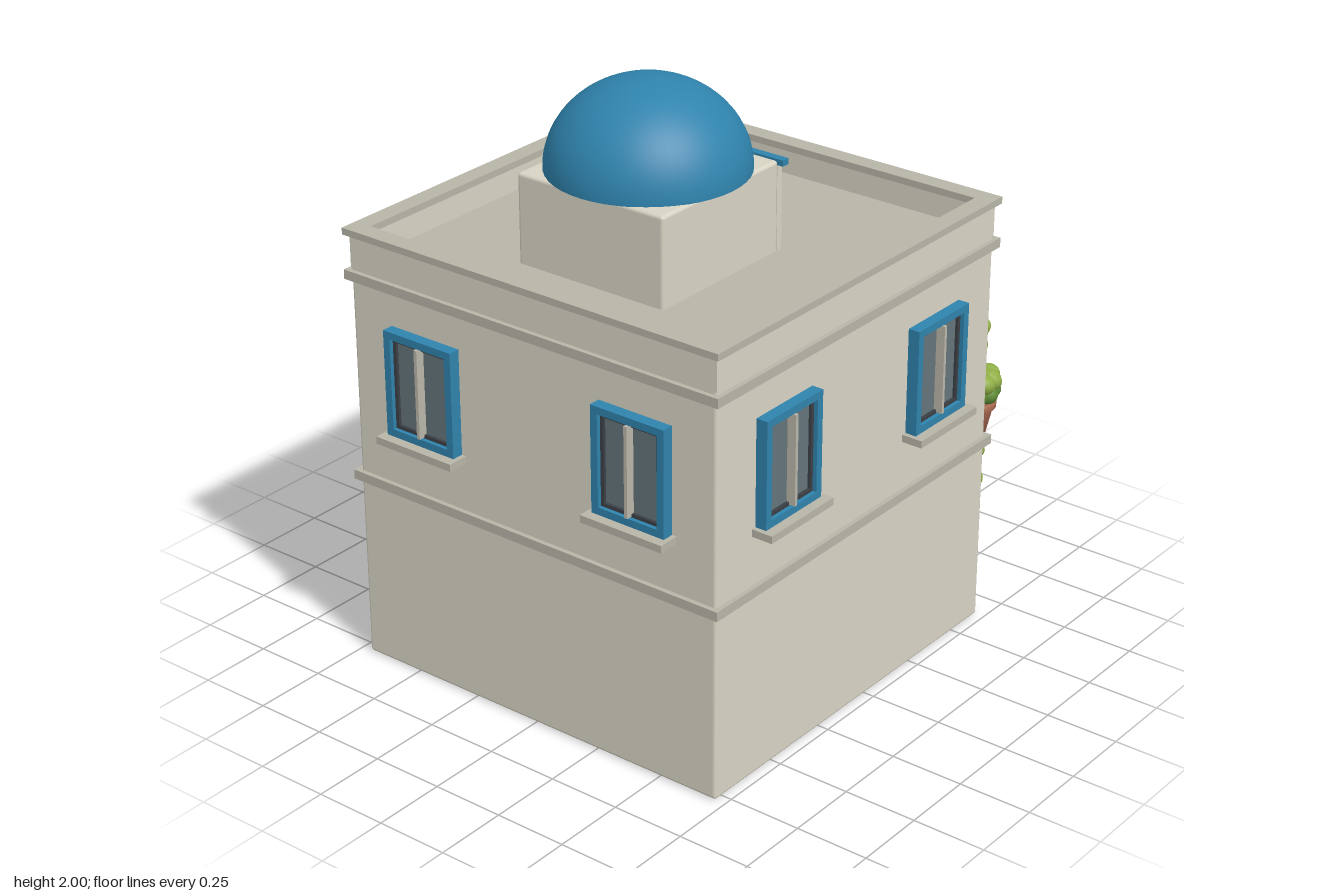
import * as THREE from 'three';
import { RoundedBoxGeometry } from 'three/addons/geometries/RoundedBoxGeometry.js';

const mat = (color, extra = {}) => new THREE.MeshStandardMaterial({ color, ...extra });
const M = {
  wall: mat(0xd8d4c4), trim: mat(0xb8b5a8), blue: mat(0x2f83ad), darkBlue: mat(0x246a90),
  glass: mat(0x64747a), mullion: mat(0xb9b6aa), cream: mat(0xe6e0d0), brown: mat(0x4d3a26),
  pot: mat(0xb06f55), metal: mat(0x3b4046), lamp: mat(0xd5d2c6),
  leaf: mat(0x8fae45), leafDark: mat(0x5f8c35),
};
const CZ = 0.07, H = 0.717;   // house centre in z and half width

function add(parent, name, geo, material, x = 0, y = 0, z = 0) {
  const m = new THREE.Mesh(geo, material);
  m.name = name;
  m.position.set(x, y, z);
  parent.add(m);
  return m;
}
// box given by its centre in x, bottom and top in y, and range in z
function slab(parent, name, material, x, w, y0, y1, z0, z1) {
  return add(parent, name, new THREE.BoxGeometry(w, y1 - y0, z1 - z0), material, x, (y0 + y1) / 2, (z0 + z1) / 2);
}
function group(parent, name, x = 0, y = 0, z = 0, turn = 0) {
  const g = new THREE.Group();
  g.name = name;
  g.position.set(x, y, z);
  g.rotation.y = turn;
  parent.add(g);
  return g;
}
function rectPath(P, hw, y0, y1) {
  const p = new P();
  p.moveTo(-hw, y0); p.lineTo(hw, y0); p.lineTo(hw, y1); p.lineTo(-hw, y1); p.closePath();
  return p;
}
function archPath(P, r, y0, spring) {
  const p = new P();
  p.moveTo(-r, y0); p.lineTo(r, y0); p.lineTo(r, spring);
  p.absarc(0, spring, r, 0, Math.PI, false);
  p.closePath();
  return p;
}
function extrude(shape, depth, hole) {
  if (hole) shape.holes.push(hole);
  return new THREE.ExtrudeGeometry(shape, { depth, bevelEnabled: false, curveSegments: 20 });
}
// square ring lying flat, from y0 to y1
function ring(parent, name, material, outer, inner, y0, y1) {
  const geo = extrude(rectPath(THREE.Shape, outer, -outer, outer), y1 - y0, rectPath(THREE.Path, inner, -inner, inner));
  geo.rotateX(-Math.PI / 2);
  return add(parent, name, geo, material, 0, y0, CZ);
}

// window facing local +z, wall plane at z = 0
function addWindow(parent, x, z, turn) {
  const g = group(parent, 'window', x, 0, z, turn);
  const frame = extrude(rectPath(THREE.Shape, 0.138, 0.865, 1.225), 0.04, rectPath(THREE.Path, 0.112, 0.89, 1.2));
  add(g, 'windowFrame', frame, M.blue);
  const sash = extrude(rectPath(THREE.Shape, 0.112, 0.89, 1.2), 0.026, rectPath(THREE.Path, 0.1, 0.902, 1.188));
  add(g, 'windowSash', sash, M.metal);
  slab(g, 'windowGlass', M.glass, 0, 0.21, 0.895, 1.195, 0, 0.016);
  slab(g, 'windowMullion', M.mullion, 0, 0.012, 0.893, 1.197, 0.01, 0.047);
  slab(g, 'windowSill', M.trim, 0, 0.31, 0.84, 0.865, -0.01, 0.074);
}

function addDoor(parent) {
  const g = group(parent, 'backEntrance', 0, 0, CZ - H, Math.PI);
  add(g, 'doorFrame', extrude(archPath(THREE.Shape, 0.175, 0.63, 1.055), 0.045, archPath(THREE.Path, 0.147, 0.63, 1.055)), M.blue);
  add(g, 'doorPanel', extrude(archPath(THREE.Shape, 0.147, 0.63, 1.055), 0.022), M.darkBlue);
  // planks that follow the arch
  for (let i = -2; i <= 2; i++) {
    const x = i * 0.058, top = 1.055 + Math.sqrt(0.147 ** 2 - Math.min(0.14, Math.abs(x) + 0.025) ** 2);
    slab(g, 'doorPlank', M.blue, x, 0.05, 0.635, top, 0.02, 0.03);
  }
  add(g, 'doorKnob', new THREE.SphereGeometry(0.01, 12, 8), M.metal, 0.1, 0.9, 0.036);
  slab(g, 'doorStep', M.trim, 0, 0.46, 0.59, 0.63, -0.01, 0.07);
  // louvred shutter beside the door
  const s = group(g, 'shutter', 0.226, 0, 0);
  for (const e of [-1, 1]) slab(s, 'shutterStile', M.blue, e * 0.043, 0.012, 0.87, 1.2, 0.01, 0.03);
  for (let i = 0; i < 9; i++) {
    const slat = slab(s, 'shutterSlat', M.blue, 0, 0.08, 0.878 + i * 0.037, 0.898 + i * 0.037, 0.016, 0.024);
    slat.rotation.x = -0.4;
  }
  // striped awning with a short valance
  const a = group(g, 'awning'), w = 0.74 / 10, rise = 0.105, run = 0.2;
  for (let i = 0; i < 10; i++) {
    const x = 0.37 - (i + 0.5) * w, m = i % 2 ? M.blue : M.cream;
    const strip = add(a, 'awningStripe', new THREE.BoxGeometry(w, 0.005, Math.hypot(rise, run)), m, x, 1.2 + rise / 2, 0.015 + run / 2);
    strip.rotation.x = Math.atan2(rise, run);
    slab(a, 'awningValance', m, x, w, 1.163, 1.203, 0.211, 0.217);
  }
}

function addRoofRoom(parent) {
  const g = group(parent, 'roofRoom', 0, 0, 0.205);
  add(g, 'roofRoomWalls', new RoundedBoxGeometry(0.57, 0.34, 0.57, 3, 0.012), M.wall, 0, 1.54, 0);
  const dome = add(g, 'dome', new THREE.SphereGeometry(0.324, 48, 20, 0, Math.PI * 2, 0, Math.PI / 2), M.blue, 0, 1.712, 0);
  dome.scale.y = 0.288 / 0.324;
  add(g, 'domeBase', new THREE.CylinderGeometry(0.324, 0.324, 0.006, 48), M.blue, 0, 1.712, 0);
  const d = group(g, 'roofDoorway', 0, 0, -0.28, Math.PI);
  add(d, 'roofDoor', extrude(archPath(THREE.Shape, 0.135, 1.4, 1.545), 0.012), M.brown);
  for (const e of [-1, 1]) slab(d, 'roofDoorPost', M.wall, e * 0.272, 0.024, 1.4, 1.7, 0, 0.025);
  slab(d, 'roofDoorBeam', M.blue, 0, 0.61, 1.695, 1.715, 0, 0.028);
}

function addPlants(parent) {
  let seed = 7;
  const rnd = () => (seed = (seed * 16807) % 2147483647) / 2147483647;
  const ball = new THREE.SphereGeometry(1, 12, 9);
  const leaf = (p, name, x, y, z, r, sy, m) => {
    const b = add(p, name, ball, m, x, y, z);
    b.scale.set(r, r * sy, r);
    b.rotation.set(rnd() - 0.5, rnd() * 6, rnd() - 0.5);
  };
  // hanging pot
  const g = group(parent, 'hangingPlant', 0.59, 0, -0.745);
  const pts = [[0, 0.6], [0.056, 0.6], [0.08, 0.705], [0.09, 0.708], [0.09, 0.735], [0.078, 0.735], [0.072, 0.715], [0, 0.715]];
  add(g, 'flowerPot', new THREE.LatheGeometry(pts.map(p => new THREE.Vector2(...p)), 28), M.pot);
  for (let i = 0; i < 9; i++) {
    const t = i / 9 * Math.PI * 2;
    leaf(g, 'potLeaves', 0.068 * Math.cos(t), 0.765, 0.064 * Math.sin(t), 0.038, 0.9, M.leafDark);
    leaf(g, 'potLeaves', 0.066 * Math.cos(t + 0.3), 0.805, 0.066 * Math.sin(t + 0.3), 0.042, 0.85, M.leaf);
  }
  for (let i = 0; i < 4; i++) leaf(g, 'potLeaves', 0.03 * Math.cos(i * 1.57), 0.825, 0.03 * Math.sin(i * 1.57), 0.04, 0.85, M.leaf);
  // climbing vine up the wall
  const v = group(parent, 'vine');
  const at = y => [0.645 + 0.022 * Math.sin(y * 14), y, -0.677 + 0.008 * Math.sin(y * 23)];
  const path = new THREE.CatmullRomCurve3([0.45, 0.6, 0.75, 0.9, 1.05, 1.2, 1.3].map(y => new THREE.Vector3(...at(y))));
  add(v, 'vineStem', new THREE.TubeGeometry(path, 40, 0.008, 6), M.leafDark);
  for (let i = 0; i < 30; i++) {
    const [x, y, z] = at(0.455 + i * 0.029);
    leaf(v, 'vineLeaf', x + (rnd() - 0.5) * 0.03, y, z, 0.019 + rnd() * 0.008, 1.3, rnd() > 0.5 ? M.leaf : M.leafDark);
  }
}

function addLantern(parent) {
  const g = group(parent, 'lantern', 0.597, 0, -0.745);
  slab(g, 'lanternArm', M.metal, 0, 0.012, 1.236, 1.248, -0.01, 0.1);
  const cap = add(g, 'lanternCap', new THREE.CylinderGeometry(0.018, 0.046, 0.018, 4), M.metal, 0, 1.23, 0);
  cap.rotation.y = Math.PI / 4;
  const glass = add(g, 'lanternGlass', new THREE.CylinderGeometry(0.033, 0.027, 0.06, 4), M.lamp, 0, 1.192, 0);
  glass.rotation.y = Math.PI / 4;
  slab(g, 'lanternBase', M.metal, 0, 0.04, 1.158, 1.164, -0.02, 0.02);
}

export function createModel() {
  const house = new THREE.Group();
  house.name = 'house';
  // walls, bands and parapet
  add(house, 'houseBody', new RoundedBoxGeometry(2 * H, 1.405, 2 * H, 3, 0.012), M.wall, 0, 0.7025, CZ);
  slab(house, 'roofFloor', M.trim, 0, 1.36, 1.39, 1.408, CZ - 0.68, CZ + 0.68);
  ring(house, 'parapet', M.wall, H, 0.675, 1.38, 1.495);
  ring(house, 'parapetCoping', M.trim, 0.733, 0.67, 1.49, 1.513);
  for (const y of [0.64, 1.34]) ring(house, 'wallBand', M.trim, 0.733, 0.7, y, y + 0.032);
  // two windows on every side
  for (const e of [-1, 1]) {
    addWindow(house, e * 0.415, CZ + H, 0);
    addWindow(house, e * 0.415, CZ - H, Math.PI);
    addWindow(house, H, CZ + e * 0.39, Math.PI / 2);
    addWindow(house, -H, CZ + e * 0.39, -Math.PI / 2);
  }
  addDoor(house);
  addRoofRoom(house);
  addPlants(house);
  addLantern(house);
  return house;
}
